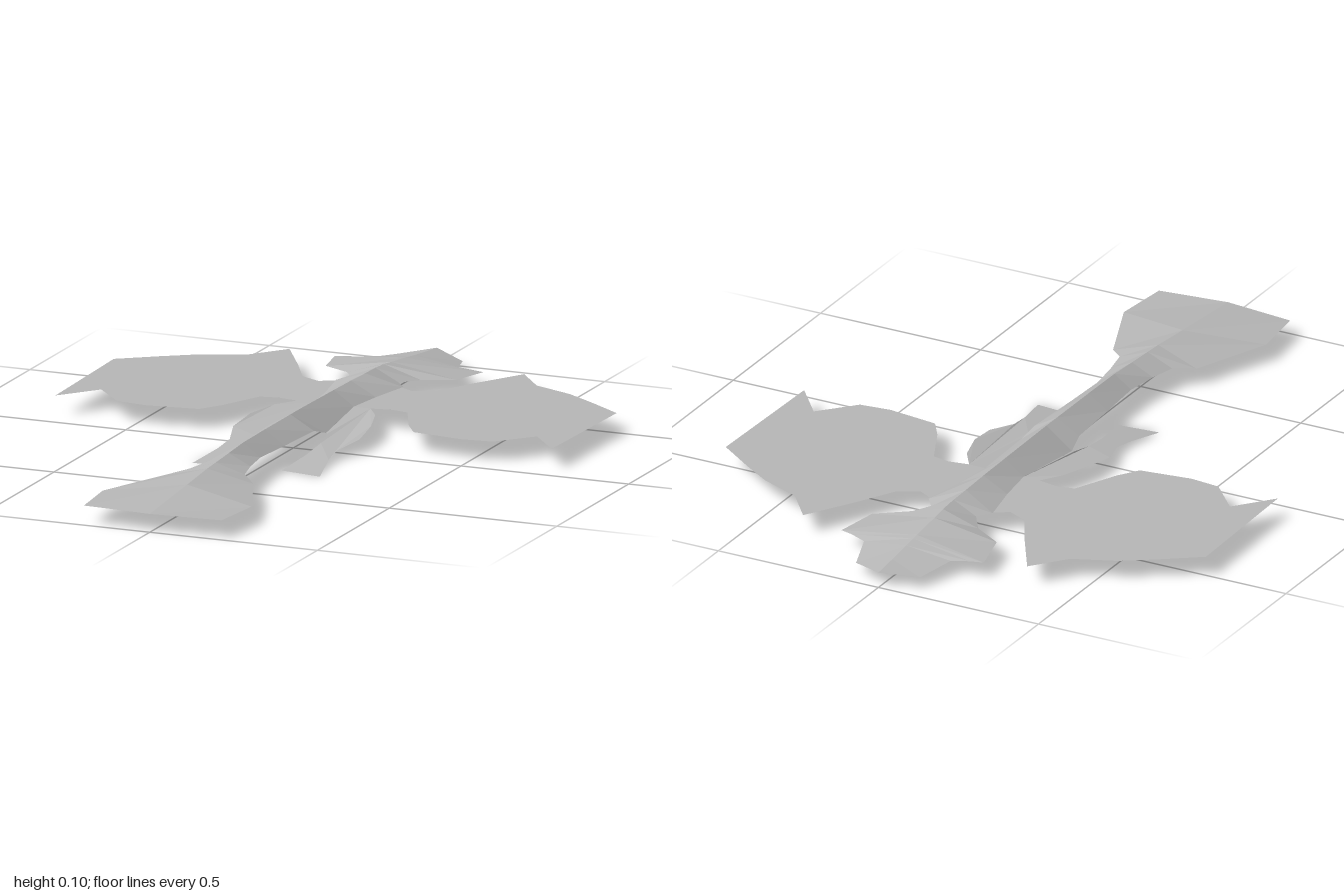
import * as THREE from 'three';

const grey = new THREE.MeshStandardMaterial({ color: 0xb8b8b8, side: THREE.DoubleSide, flatShading: true });
grey.name = 'plain grey';

// Folded sheet: each section is [z, half width, edge z, edge y, ridge y]
function foldedSheet(name, sections) {
  const pos = [], index = [];
  sections.forEach(([z, w, edgeZ, edgeY, ridgeY], i) => {
    pos.push(-w, edgeY, edgeZ, 0, ridgeY, z, w, edgeY, edgeZ);
    if (i === 0) return;
    const a = 3 * (i - 1), b = 3 * i;
    index.push(a, b, a + 1, b, b + 1, a + 1);         // right half
    index.push(a + 1, b + 1, a + 2, b + 1, b + 2, a + 2); // left half
  });
  const geo = new THREE.BufferGeometry();
  geo.setAttribute('position', new THREE.Float32BufferAttribute(pos, 3));
  geo.setIndex(index);
  geo.computeVertexNormals();
  const mesh = new THREE.Mesh(geo, grey);
  mesh.name = name;
  return mesh;
}

// Thin plate cut to an outline of [x, z] points, with height given by a rule of z
function plate(name, outline, side, height) {
  const shape = new THREE.Shape(outline.map(([x, z]) => new THREE.Vector2(x * side, -z)));
  const geo = new THREE.ShapeGeometry(shape);
  geo.rotateX(-Math.PI / 2);
  const p = geo.attributes.position;
  for (let i = 0; i < p.count; i++) p.setY(i, height(p.getZ(i)));
  geo.computeVertexNormals();
  const mesh = new THREE.Mesh(geo, grey);
  mesh.name = name;
  return mesh;
}

const head = [
  [-1, 0, -1, 0.045, 0.045],
  [-0.92, 0.1, -0.945, 0.03, 0.053],
  [-0.84, 0.135, -0.835, 0.043, 0.062],
  [-0.8, 0.185, -0.815, 0.045, 0.067],
  [-0.78, 0.222, -0.805, 0.045, 0.07],
  [-0.68, 0.195, -0.68, 0.05, 0.081],
  [-0.63, 0.11, -0.63, 0.053, 0.087],
  [-0.57, 0.07, -0.57, 0.056, 0.091],
];

const body = [
  [-0.57, 0.07, -0.57, 0.056, 0.091],
  [-0.5, 0.1, -0.53, 0.056, 0.092],
  [-0.4, 0.075, -0.4, 0.056, 0.095],
  [-0.28, 0.06, -0.28, 0.056, 0.097],
  [-0.04, 0.08, -0.04, 0.041, 0.1],
  [0.02, 0.07, 0.02, 0.06, 0.1],
  [0.2, 0.06, 0.2, 0.06, 0.1],
  [0.35, 0.052, 0.35, 0.062, 0.099],
  [0.45, 0.065, 0.45, 0.062, 0.093],
  [0.54, 0.082, 0.53, 0.06, 0.088],
];

const tail = [
  [0.54, 0.082, 0.53, 0.06, 0.088],
  [0.6, 0.13, 0.58, 0.05, 0.085],
  [0.74, 0.222, 0.81, 0.05, 0.073],
  [1, 0.205, 0.98, 0.05, 0.052],
];

const wing = [
  [0.07, -0.4], [0.09, -0.53], [0.14, -0.5], [0.2, -0.53], [0.26, -0.64], [0.35, -0.79],
  [0.43, -0.69], [0.55, -0.64], [0.64, -0.58], [0.75, -0.5], [0.74, -0.07],
  [0.65, -0.18], [0.56, -0.08], [0.47, -0.07], [0.32, -0.09], [0.28, -0.15],
  [0.22, -0.28], [0.17, -0.29], [0.11, -0.28], [0.06, -0.28],
];

const leg = [
  [0.06, -0.28], [0.11, -0.28], [0.15, -0.22], [0.18, -0.12], [0.188, -0.02],
  [0.16, 0.07], [0.165, 0.14], [0.19, 0.26], [0.07, 0.245], [0.09, 0.12],
  [0.095, 0.03], [0.085, -0.04], [0.08, -0.04],
];

export function createModel() {
  const model = new THREE.Group();
  model.name = 'flatCreature';
  model.add(foldedSheet('head', head), foldedSheet('body', body), foldedSheet('tail', tail));

  // Paired limbs: flat wings and legs sloping down to the ground
  for (const [label, side] of [['left', 1], ['right', -1]]) {
    model.add(plate(label + 'Wing', wing, side, () => 0.056));
    model.add(plate(label + 'Leg', leg, side, (z) => Math.max(0, Math.min(0.056, 0.035 - 0.135 * z))));
  }
  return model;
}
